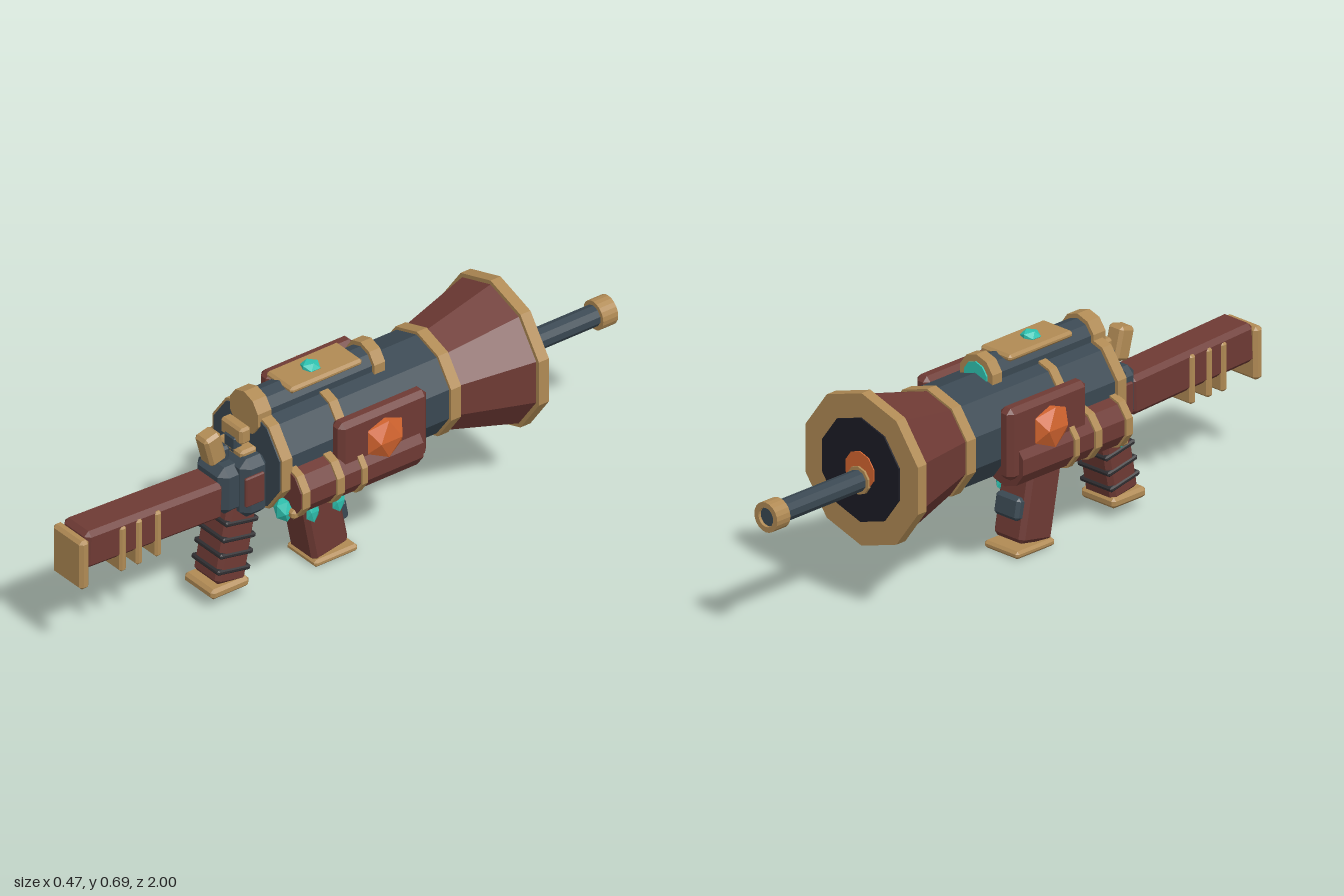
import * as THREE from 'three';
import { ConvexGeometry } from 'three/addons/geometries/ConvexGeometry.js';

const mat = (name, color) => {
  const m = new THREE.MeshStandardMaterial({ color, flatShading: true });
  m.name = name;
  return m;
};

export function createModel() {
  const red = mat('redWood', 0x6e3a34);
  const steel = mat('blueSteel', 0x3a4852);
  const gold = mat('brass', 0xb08a54);
  const teal = mat('tealGem', 0x2fc4b2);
  const orange = mat('orangeGem', 0xd2642f);
  const black = mat('darkBore', 0x1c1c25);
  const wrap = mat('blackWrap', 0x2f2e31);

  const model = new THREE.Group();
  model.name = 'handCannon';
  const add = (name, geo, material, x = 0, y = 0, z = 0, parent = model) => {
    const mesh = new THREE.Mesh(geo, material);
    mesh.name = name;
    mesh.position.set(x, y, z);
    parent.add(mesh);
    return mesh;
  };

  // Box with every edge chamfered by b
  const box = (w, h, d, b = 0.012) => {
    const pts = [];
    for (const sx of [-1, 1]) for (const sy of [-1, 1]) for (const sz of [-1, 1]) {
      for (let k = 0; k < 3; k++) {
        const half = [w, h, d].map((v, i) => v / 2 - (i === k ? 0 : b));
        pts.push(new THREE.Vector3(sx * half[0], sy * half[1], sz * half[2]));
      }
    }
    return new ConvexGeometry(pts);
  };

  // Polygonal tube along z with a vertex at the top
  const tube = (name, m, x, y, z0, z1, r0, r1 = r0, sides = 10) =>
    add(name, new THREE.CylinderGeometry(r0, r1, z1 - z0, sides).rotateX(-Math.PI / 2), m, x, y, (z0 + z1) / 2);

  const gem = (name, m, x, y, z, sx, sy, sz) =>
    add(name, new THREE.IcosahedronGeometry(1, 0).scale(sx, sy, sz), m, x, y, z);

  // Main barrel and its bands
  const cy = 0.448;
  tube('barrel', steel, 0, cy, -0.32, 0.325, 0.162);
  tube('rearBand', gold, 0, cy, 0.295, 0.332, 0.174);
  tube('breechPlate', steel, 0, cy, 0.325, 0.336, 0.165);
  tube('middleBand', gold, 0, cy, 0.077, 0.108, 0.17);
  tube('neckBand', gold, 0, cy, -0.33, -0.293, 0.172);

  // Flared muzzle
  tube('muzzleFlare', red, 0, cy, -0.57, -0.33, 0.23, 0.165);
  tube('muzzleRim', gold, 0, cy, -0.602, -0.565, 0.242);
  tube('muzzleBore', black, 0, cy, -0.607, -0.6, 0.165);
  tube('boreGlow', orange, 0, cy, -0.611, -0.605, 0.06);

  // Ramrod sticking out of the muzzle
  const ry = 0.418;
  tube('rodCollar', gold, 0, ry, -0.618, -0.605, 0.044);
  tube('ramrod', steel, 0, ry, -0.96, -0.58, 0.034);
  const tip = new THREE.Shape().absarc(0, 0, 0.047, 0, Math.PI * 2);
  tip.holes.push(new THREE.Path().absarc(0, 0, 0.03, 0, Math.PI * 2, true));
  add('rodTip', new THREE.ExtrudeGeometry(tip, { depth: 0.055, bevelEnabled: false, curveSegments: 10 }), gold, 0, ry, -1);
  tube('rodTipHole', steel, 0, ry, -0.99, -0.95, 0.031);

  // Upper tube with end bands and a jewelled plate
  tube('upperTube', steel, 0, 0.595, -0.11, 0.31, 0.058);
  tube('upperFrontBand', gold, 0, 0.597, -0.125, -0.085, 0.07);
  tube('upperRearCap', gold, 0, 0.597, 0.295, 0.345, 0.07);
  tube('upperTubeLens', teal, 0, 0.597, -0.13, -0.12, 0.048);
  add('topPlate', box(0.124, 0.022, 0.265, 0.008), gold, 0, 0.645, 0.085);
  gem('topGem', teal, 0, 0.658, 0.1, 0.032, 0.02, 0.032);

  // Side pods, panels, gems and brackets
  for (const s of [1, -1]) {
    const px = s * 0.14, py = 0.378;
    tube('sidePod', red, px, py, -0.15, 0.302, 0.08);
    tube('podBand', gold, px, py, 0.145, 0.172, 0.087);
    tube('podBand', gold, px, py, 0.06, 0.08, 0.087);
    tube('podEndBand', gold, px, py, 0.272, 0.299, 0.087);
    add('sidePanel', box(0.055, 0.228, 0.325, 0.016), red, s * 0.171, 0.449, -0.022);
    gem('sideGem', orange, s * 0.2, 0.47, -0.02, 0.04, 0.074, 0.074);
    add('gemBracket', box(0.11, 0.03, 0.03, 0.008), gold, s * 0.14, 0.318, 0.3);
    gem('rearGem', teal, s * 0.147, 0.32, 0.312, 0.034, 0.04, 0.03);
    add('receiverPlate', box(0.012, 0.1, 0.07, 0.004), red, s * 0.102, 0.395, 0.385);
  }

  // Receiver
  add('receiver', box(0.2, 0.2, 0.1, 0.025), steel, 0, 0.39, 0.37);
  add('receiverBack', box(0.145, 0.16, 0.12, 0.025), steel, 0, 0.39, 0.42);

  // Rear sight
  add('sightBase', box(0.12, 0.028, 0.06, 0.008), gold, 0, 0.492, 0.37);
  add('sightPost', box(0.06, 0.06, 0.03, 0.008), steel, 0, 0.51, 0.385);
  add('sightBlock', box(0.1, 0.055, 0.04, 0.008), gold, 0, 0.548, 0.375);
  const hammer = add('hammer', box(0.06, 0.105, 0.06, 0.01), gold, 0, 0.525, 0.468);
  hammer.rotation.x = 0.26;
  add('hammerStem', box(0.04, 0.08, 0.04, 0.008), steel, 0, 0.475, 0.43);

  // Shoulder stock
  const stock = add('stock', box(0.124, 0.125, 0.51, 0.015), red, 0, 0.376, 0.718);
  stock.rotation.x = -0.042;
  for (const z of [0.71, 0.78, 0.84]) add('stockStrap', box(0.136, 0.155, 0.025, 0.007), gold, 0, 0.35, z);
  add('buttPlate', box(0.14, 0.167, 0.035, 0.01), gold, 0, 0.35, 0.9825);

  // Rear grip with wrapped bands
  const grip = new THREE.Group();
  grip.name = 'rearGrip';
  grip.position.set(0, 0.215, 0.41);
  grip.rotation.x = -0.19;
  model.add(grip);
  add('gripBody', box(0.124, 0.3, 0.112, 0.014), red, 0, 0, 0, grip);
  for (let i = 0; i < 4; i++) add('gripWrap', box(0.132, 0.017, 0.124, 0.005), wrap, 0, -0.105 + i * 0.053, 0, grip);
  add('gripFoot', box(0.14, 0.034, 0.14, 0.01), gold, 0, 0.056, 0.445);

  // Fore grip
  const fore = new THREE.Group();
  fore.name = 'foreGrip';
  fore.position.set(0, 0.17, 0.092);
  fore.rotation.x = 0.19;
  model.add(fore);
  add('foreGripBody', box(0.124, 0.29, 0.135, 0.014), red, 0, 0, 0, fore);
  add('foreGripTrigger', box(0.1, 0.07, 0.04, 0.01), steel, 0, -0.04, -0.07, fore);
  add('foreGripFoot', box(0.14, 0.024, 0.16, 0.008), gold, 0, 0.014, 0.055);
  for (const z of [0.14, 0.045]) gem('foreGripGem', teal, 0.062, 0.205, z, 0.016, 0.045, 0.025);

  return model;
}
